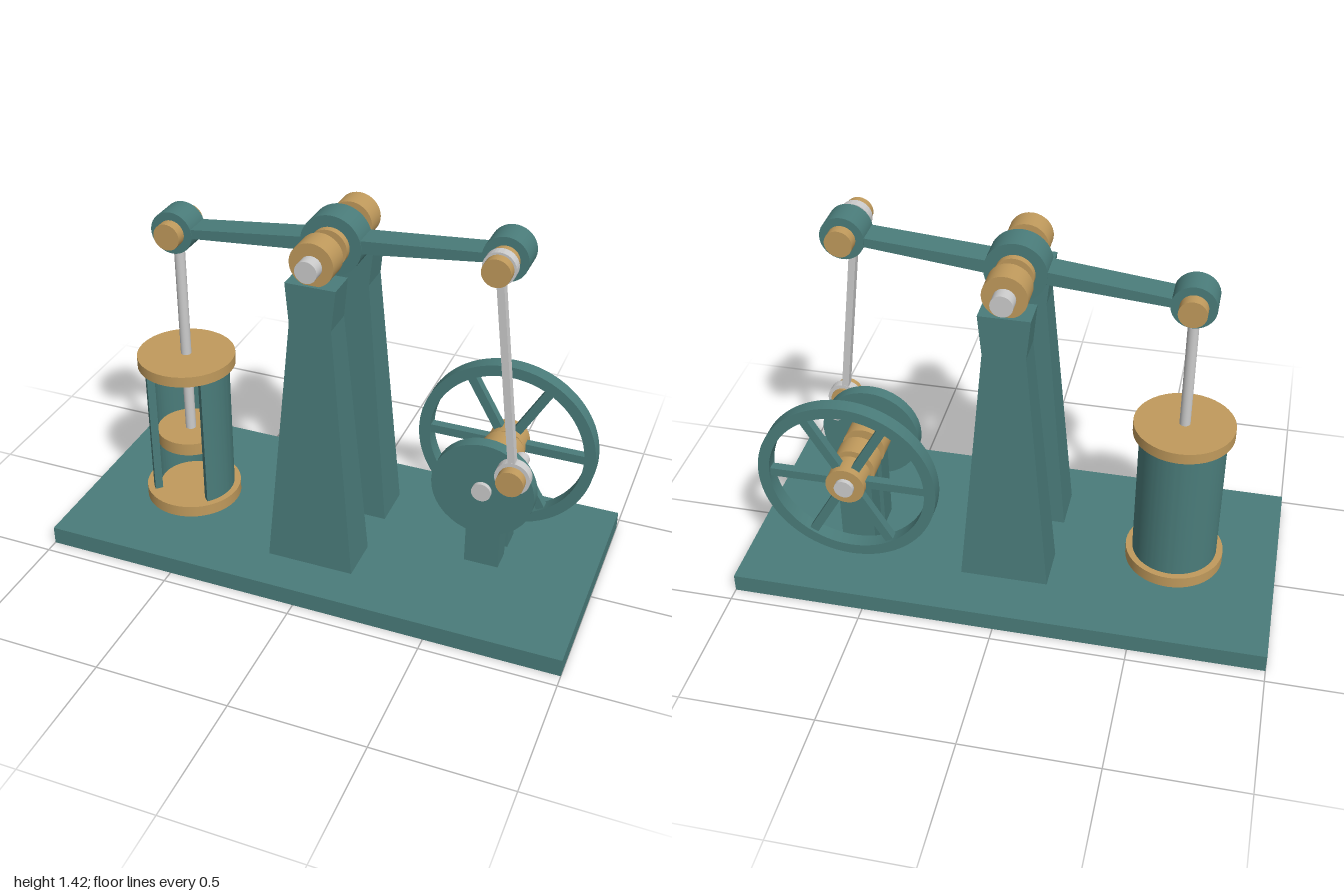
import * as THREE from 'three';
import { toCreasedNormals } from 'three/addons/utils/BufferGeometryUtils.js';

const teal = new THREE.MeshStandardMaterial({ color: 0x4a7c7a });
const brass = new THREE.MeshStandardMaterial({ color: 0xc09a5c });
const steel = new THREE.MeshStandardMaterial({ color: 0xcccccc });
const MID = 0.018; // z of the beam's centre plane

export function createModel() {
  const model = new THREE.Group();
  model.name = 'beamEngine';

  const add = (name, geometry, material, x = 0, y = 0, z = 0, parent = model) => {
    const mesh = new THREE.Mesh(geometry, material);
    mesh.name = name;
    mesh.position.set(x, y, z);
    parent.add(mesh);
    return mesh;
  };
  // upright cylinder from y0 to y1
  const post = (name, mat, x, z, r, y0, y1) =>
    add(name, new THREE.CylinderGeometry(r, r, y1 - y0, 48), mat, x, (y0 + y1) / 2, z);
  // cylinder along z from z0 to z1
  const axle = (name, mat, x, y, r, z0, z1) =>
    add(name, new THREE.CylinderGeometry(r, r, z1 - z0, 40).rotateX(Math.PI / 2), mat, x, y, (z0 + z1) / 2);
  const extrude = (shape, depth) => toCreasedNormals(
    new THREE.ExtrudeGeometry(shape, { depth, bevelEnabled: false, curveSegments: 48 }), 0.5);
  const ring = (outer, inner, depth) => {
    const shape = new THREE.Shape().absarc(0, 0, outer, 0, Math.PI * 2);
    shape.holes.push(new THREE.Path().absarc(0, 0, inner, 0, Math.PI * 2, true));
    return extrude(shape, depth);
  };

  // Base plate
  add('base', new THREE.BoxGeometry(2, 0.07, 0.9), teal, 0, 0.035, 0);

  // Column: stacked rectangular sections, slightly waisted below the top
  const sections = [[0.07, 0.165, 0.087], [1.06, 0.077, 0.06], [1.21, 0.092, 0.056]];
  const columnGeometry = () => {
    const g = new THREE.BoxGeometry(2, 2, 2, 1, 2, 1);
    const p = g.attributes.position;
    for (let i = 0; i < p.count; i++) {
      const [y, hx, hz] = sections[Math.round(p.getY(i) + 1)];
      p.setXYZ(i, p.getX(i) * hx, y, p.getZ(i) * hz);
    }
    return toCreasedNormals(g, 0.05);
  };
  for (const side of [1, -1]) {
    const z = MID + side * 0.18;
    add('column', columnGeometry(), teal, 0, 0, z);
    axle('columnBearing', brass, 0, 1.285, 0.08, z - 0.044, z + 0.044);
  }
  axle('beamShaft', steel, 0, 1.28, 0.04, -0.255, 0.29);
  axle('beamCollar', brass, 0, 1.28, 0.07, MID - 0.078, MID + 0.078);

  // Rocking beam: hub, two eyes and two tapered arms
  const W = 0.105;
  axle('beamHub', teal, 0, 1.28, 0.112, MID - W / 2, MID + W / 2);
  axle('beamEye', teal, -0.61, 1.22, 0.08, MID - W / 2, MID + W / 2);
  axle('beamEye', teal, 0.61, 1.34, 0.08, MID - W / 2, MID + W / 2);
  const armShape = new THREE.Shape();
  armShape.moveTo(-0.6, -0.016).lineTo(0, -0.026).lineTo(0.6, -0.016)
    .lineTo(0.6, 0.016).lineTo(0, 0.026).lineTo(-0.6, 0.016);
  add('beamArms', extrude(armShape, 0.1), teal, 0, 1.28, MID - 0.05).rotation.z = Math.atan2(0.06, 0.61);
  axle('pistonEndPin', brass, -0.61, 1.22, 0.05, -0.08, 0.11);
  axle('crankEndPin', brass, 0.61, 1.34, 0.05, -0.075, 0.18);

  // Steam cylinder, cut open at the front to show the piston
  const CX = -0.61;
  post('bottomFlange', brass, CX, MID, 0.185, 0.07, 0.115);
  post('topFlange', brass, CX, MID, 0.185, 0.66, 0.702);
  const wall = new THREE.Shape();
  wall.absarc(0, 0, 0.16, -Math.PI / 4, Math.PI * 1.25);
  wall.absarc(0, 0, 0.13, Math.PI * 1.25, -Math.PI / 4, true);
  add('cylinderWall', extrude(wall, 0.545).rotateX(-Math.PI / 2), teal, CX, 0.115, MID);
  post('piston', brass, CX, MID, 0.129, 0.32, 0.37);
  post('pistonRod', steel, CX, MID, 0.02, 0.37, 1.17);

  // Crankshaft with two pedestal bearings
  const SX = 0.59, SY = 0.438;
  for (const z of [0.005, -0.127]) {
    add('pedestal', new THREE.BoxGeometry(0.13, 0.35, 0.088), teal, SX, 0.245, z);
    axle('crankBearing', brass, SX, SY, 0.083, z - 0.045, z + 0.045);
  }
  axle('crankShaft', steel, SX, SY, 0.036, -0.295, 0.116);

  // Flywheel: rim, six spokes, hub
  const wheel = new THREE.Group();
  wheel.name = 'flywheel';
  wheel.position.set(SX, SY, -0.233);
  model.add(wheel);
  add('rim', ring(0.34, 0.297, 0.057), teal, 0, 0, -0.0285, wheel);
  for (let i = 0; i < 6; i++) {
    const a = i * Math.PI / 3;
    add('spoke', new THREE.BoxGeometry(0.25, 0.034, 0.034), teal,
      Math.cos(a) * 0.18, Math.sin(a) * 0.18, 0, wheel).rotation.z = a;
  }
  axle('flywheelHub', brass, SX, SY, 0.074, -0.277, -0.19);

  // Crank disc, crank pin and connecting rod
  const PX = 0.705, PY = 0.545, TX = 0.61, TY = 1.34;
  axle('crankDisc', teal, SX, SY, 0.19, 0.052, 0.1);
  axle('crankPin', steel, PX, PY, 0.027, 0.005, 0.145);
  axle('crankPinCap', brass, PX, PY, 0.05, 0.1, 0.18);
  add('rodBigEnd', ring(0.064, 0.049, 0.035), steel, PX, PY, 0.108);
  add('rodSmallEnd', ring(0.058, 0.049, 0.035), steel, TX, TY, 0.108);
  const length = Math.hypot(PX - TX, TY - PY);
  add('connectingRod', new THREE.BoxGeometry(0.026, length - 0.1, 0.033), steel,
    (PX + TX) / 2, (PY + TY) / 2, 0.1255).rotation.z = Math.atan2(PX - TX, TY - PY);

  return model;
}
